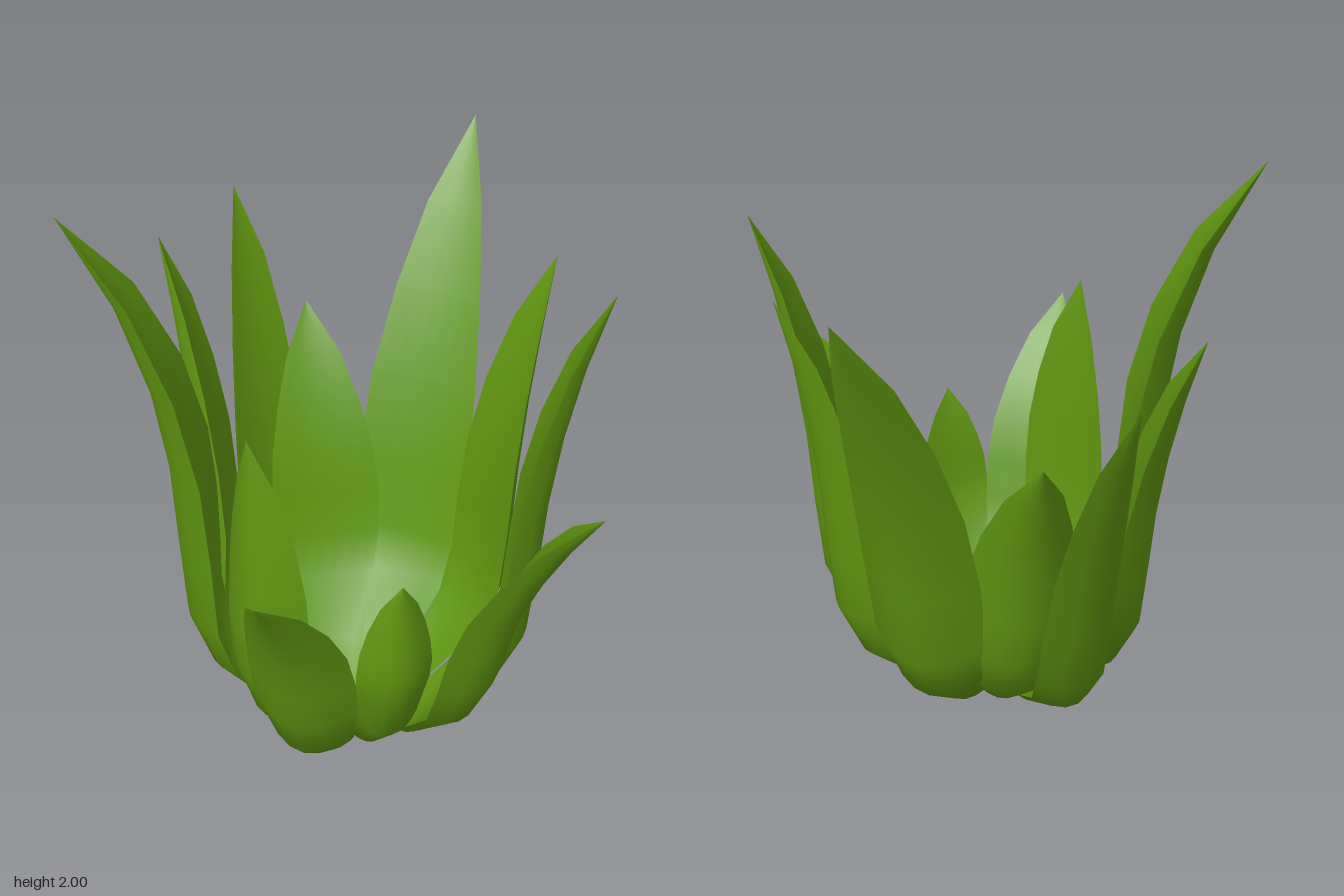
import * as THREE from 'three';

// Point from which every leaf grows
const BASE = [0.05, 0.2];

// Each leaf: tip x, y, z, facing and twist in degrees, bulge radius, bowl height,
// how late the tip flares out, width factor
const LEAVES = [
  [-0.82, 2.00, -0.10, -109, 0, 0.59, 1.04, 3.0, 1.05],
  [-0.38, 1.43, 0.44, -61, 0, 0.52, 1.0, 2.0, 0.93],
  [-0.50, 1.17, 0.93, -37, 0, 0.60, 0.88, 1.7, 0.92],
  [0.05, 0.95, 0.70, 0, 0, 0.53, 1.0, 1.5, 0.66],
  [0.61, 1.25, 0.94, 37, 0, 0.60, 0.88, 1.7, 0.94],
  [0.79, 1.79, 0.54, 65, 0, 0.64, 0.95, 2.4, 0.87],
  [0.82, 1.68, 0.05, 100, 0, 0.63, 0.95, 2.2, 0.8],
  [0.81, 1.89, -0.67, 138, 0, 0.67, 0.88, 1.5, 1.06],
  [0.15, 1.28, -0.61, 171, 0, 0.62, 0.85, 1.6, 1.0],
  [-0.02, 1.61, -0.95, -167, 24, 0.69, 0.66, 1.3, 1.0],
  [-0.39, 1.63, -0.60, -140, 28, 0.63, 0.85, 1.8, 0.95],
];

const HALF_WIDTHS = [0.012, 0.105, 0.168, 0.197, 0.202, 0.188, 0.152, 0.097, 0];
const COLS = 6;

// Keel line of a leaf as [sideways, height, radius]: round bowl below, flaring tip above
function keelLine(side, height, tipR, bulge, bowl, power) {
  const pts = [[0, 0], [0.5, 0.085], [0.83, 0.27], [0.97, 0.48]].map(([r, y]) => [0, y * bowl, r * bulge]);
  const y0 = 0.48 * bowl;
  for (let i = 1; i <= 5; i++) {
    const s = i / 5;
    pts.push([side * s ** 1.5, y0 + (height - y0) * s, bulge + (tipR - bulge) * s ** power]);
  }
  return pts;
}

// One skin of the leaf: rounded outside, almost flat inside, meeting at the edges
function addSkin(keel, twist, widthScale, inner, positions, indices) {
  const start = positions.length / 3;
  keel.forEach(([x, y, r], i) => {
    const a = keel[Math.max(0, i - 1)], b = keel[Math.min(keel.length - 1, i + 1)];
    const dy = b[1] - a[1], dr = b[2] - a[2], len = Math.hypot(dr, dy);
    const w = HALF_WIDTHS[i] * widthScale;
    const turn = twist * Math.min(1, i / 4), cos = Math.cos(turn), sin = Math.sin(turn);
    for (let j = 0; j <= COLS; j++) {
      const u = (j / COLS) * 2 - 1;
      const sag = w * (inner ? 0.5 + 0.1 * u * u : 0.6 * u * u);
      const px = u * w, pz = -(dy / len) * sag;
      positions.push(x + px * cos + pz * sin, y + (dr / len) * sag, r + pz * cos - px * sin);
    }
  });
  for (let i = 0; i < keel.length - 1; i++) {
    for (let j = 0; j < COLS; j++) {
      const a = start + i * (COLS + 1) + j, b = a + 1, c = a + COLS + 1, d = c + 1;
      if (inner) indices.push(a, c, b, b, c, d);
      else indices.push(a, b, c, b, d, c);
    }
  }
}

function leafGeometry(keel, twist, widthScale) {
  const positions = [], indices = [];
  addSkin(keel, twist, widthScale, false, positions, indices);
  addSkin(keel, twist, widthScale, true, positions, indices);
  const geo = new THREE.BufferGeometry();
  geo.setAttribute('position', new THREE.Float32BufferAttribute(positions, 3));
  geo.setIndex(indices);
  geo.computeVertexNormals();
  return geo;
}

export function createModel() {
  const leafGreen = new THREE.MeshStandardMaterial({ color: 0x5f9610, side: THREE.DoubleSide });
  leafGreen.name = 'leafGreen';

  const plant = new THREE.Group();
  plant.name = 'succulentPlant';
  const up = new THREE.Vector3(0, 1, 0);
  LEAVES.forEach(([x, y, z, facing, twist, bulge, bowl, power, widthScale], i) => {
    // Tip position in the leaf's own frame, which faces outward
    const angle = THREE.MathUtils.degToRad(facing);
    const tip = new THREE.Vector3(x - BASE[0], y, z - BASE[1]).applyAxisAngle(up, -angle);
    const keel = keelLine(tip.x, tip.y, tip.z, bulge, bowl, power);
    const leaf = new THREE.Mesh(leafGeometry(keel, THREE.MathUtils.degToRad(twist), widthScale), leafGreen);
    leaf.name = `leaf${i + 1}`;
    leaf.position.set(BASE[0], 0, BASE[1]);
    leaf.rotation.y = angle;
    plant.add(leaf);
  });
  return plant;
}
